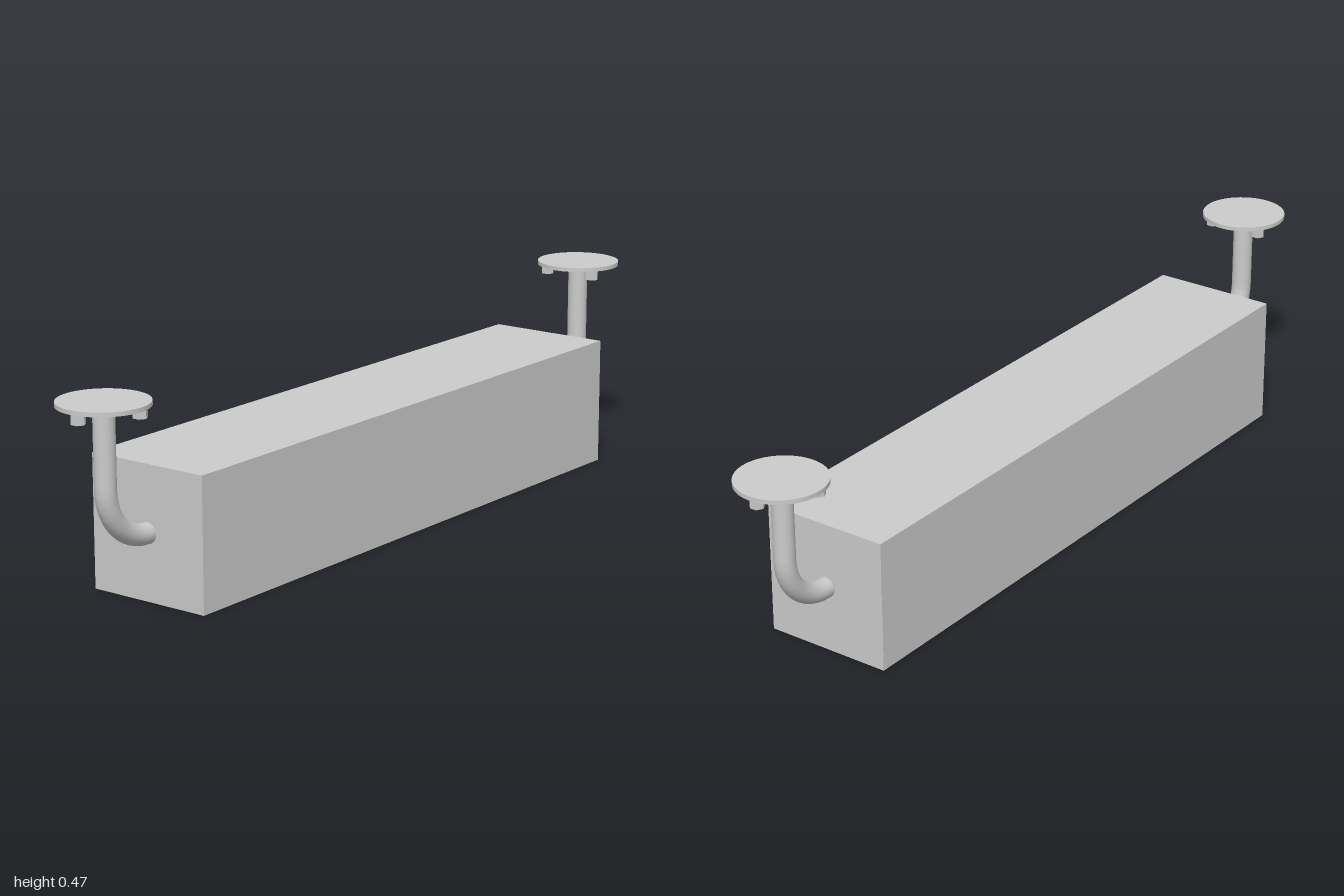
import * as THREE from 'three';

const material = new THREE.MeshStandardMaterial({ color: 0xcccccc });

function addMesh(parent, name, geometry, x = 0, y = 0, z = 0, mat = material) {
  const mesh = new THREE.Mesh(geometry, mat);
  mesh.name = name;
  mesh.position.set(x, y, z);
  parent.add(mesh);
  return mesh;
}

// Bent arm, round mounting plate and three hex bolts, pointing towards +z
function createBracket(name) {
  const bracket = new THREE.Group();
  bracket.name = name;
  const railY = 0.155, plateZ = 0.898, bend = 0.125;

  const path = new THREE.CurvePath();
  const points = [];
  points.push(new THREE.Vector3(0, railY, 0.765));
  for (let i = 0; i <= 12; i++) {
    const a = (i / 12) * Math.PI / 2;
    points.push(new THREE.Vector3(0, railY + bend * (1 - Math.cos(a)), plateZ - bend + bend * Math.sin(a)));
  }
  points.push(new THREE.Vector3(0, 0.465, plateZ));
  for (let i = 1; i < points.length; i++) path.add(new THREE.LineCurve3(points[i - 1], points[i]));
  addMesh(bracket, 'arm', new THREE.TubeGeometry(path, 48, 0.024, 24));

  addMesh(bracket, 'mountingPlate', new THREE.CylinderGeometry(0.102, 0.102, 0.01, 48), 0, 0.468, plateZ);

  const flat = material.clone();
  flat.flatShading = true;
  for (let i = 0; i < 3; i++) {
    const a = (i * Math.PI * 2) / 3;
    const bolt = addMesh(bracket, 'bolt', new THREE.CylinderGeometry(0.0165, 0.0165, 0.026, 6),
      0.077 * Math.sin(a), 0.451, plateZ + 0.077 * Math.cos(a), flat);
    bolt.rotation.y = Math.PI / 6;
  }
  return bracket;
}

export function createModel() {
  const model = new THREE.Group();
  model.name = 'bracketedRail';

  addMesh(model, 'rail', new THREE.BoxGeometry(0.308, 0.308, 1.538), 0, 0.154, 0);

  // One bracket at each end
  const front = createBracket('frontBracket');
  const back = createBracket('backBracket');
  back.rotation.y = Math.PI;
  model.add(front, back);
  return model;
}
